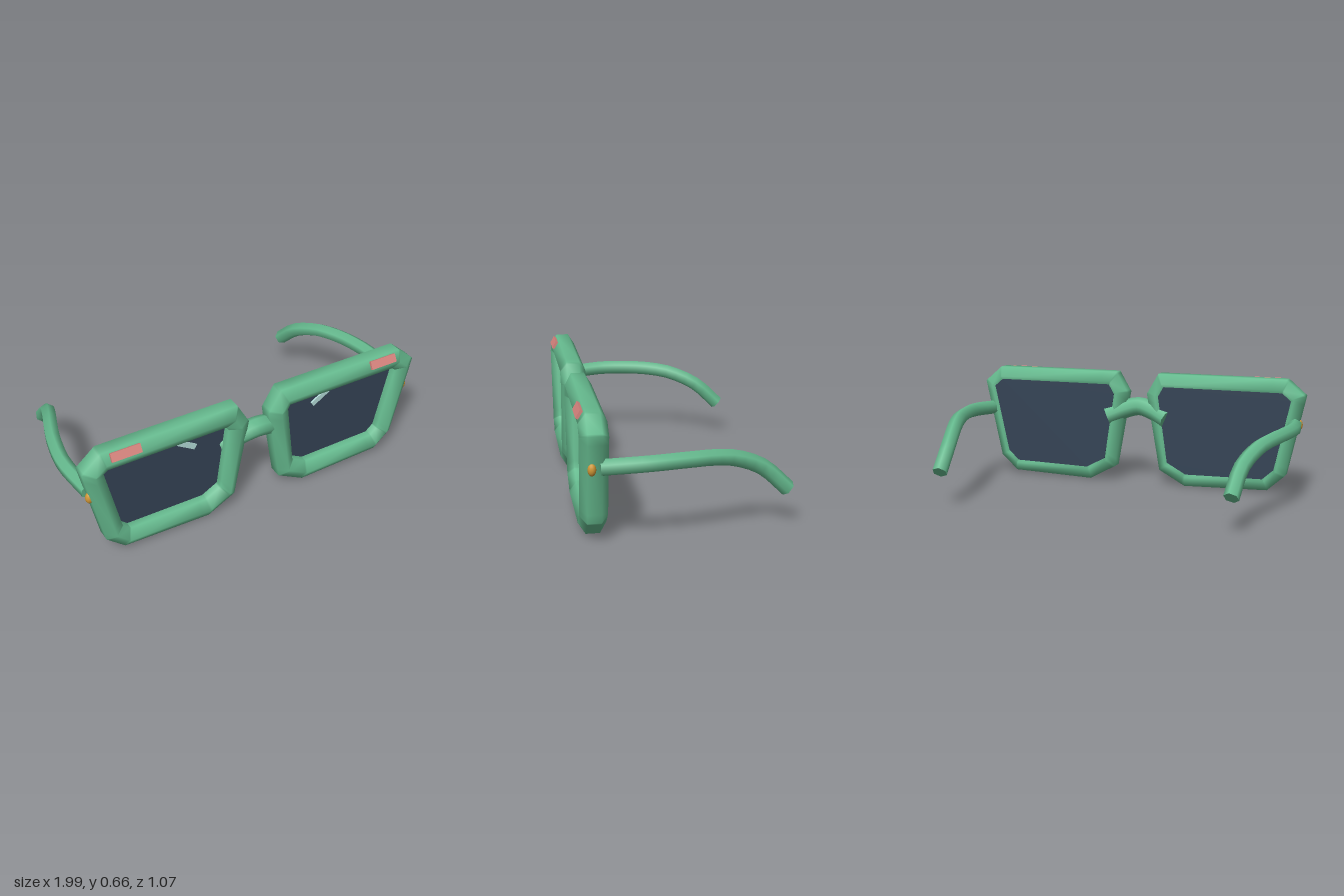
import * as THREE from 'three';

const mat = (name, color) => {
  const m = new THREE.MeshStandardMaterial({ color });
  m.name = name;
  return m;
};

// Rim corners, clockwise from the front: [outer x, outer y, inner x, inner y]
const RIM = [
  [0.13, 0.66, 0.19, 0.548], [0.88, 0.66, 0.85, 0.548],
  [0.985, 0.57, 0.872, 0.53], [0.885, 0.11, 0.792, 0.165],
  [0.785, 0.02, 0.748, 0.125], [0.295, 0.005, 0.315, 0.12],
  [0.14, 0.09, 0.224, 0.17], [0.06, 0.54, 0.178, 0.525],
];
const RIM_Z = 0.46;

function rimCorners(side) {
  const pts = RIM.map(([ox, oy, ix, iy]) => [ox * side, oy, ix * side, iy]);
  return side < 0 ? pts.reverse() : pts;
}

// Closed hexagonal tube swept round the lens opening
function rimGeometry(side) {
  const corners = rimCorners(side);
  const rings = [];
  corners.forEach((c, i) => {
    const next = corners[(i + 1) % corners.length];
    for (const t of [0, 0.1, 0.9]) rings.push(c.map((v, k) => v + (next[k] - v) * t));
  });
  const pos = [], index = [], n = rings.length;
  rings.forEach(([ox, oy, ix, iy], i) => {
    for (let k = 0; k < 6; k++) {
      const a = (k * Math.PI) / 3;
      const r = Math.sin(a) / Math.sin(Math.PI / 3) / 2;
      pos.push((ox + ix) / 2 + (ox - ix) * r, (oy + iy) / 2 + (oy - iy) * r, RIM_Z + 0.07 * Math.cos(a));
      const j = (i + 1) % n, m = (k + 1) % 6;
      index.push(i * 6 + k, j * 6 + k, j * 6 + m, i * 6 + k, j * 6 + m, i * 6 + m);
    }
  });
  const g = new THREE.BufferGeometry();
  g.setAttribute('position', new THREE.Float32BufferAttribute(pos, 3));
  g.setIndex(index);
  g.computeVertexNormals();
  return g;
}

// Lens slab whose edge is buried in the rim
function lensGeometry(side) {
  const pts = rimCorners(side).map(([ox, oy, ix, iy]) =>
    new THREE.Vector2(ox * 0.35 + ix * 0.65, oy * 0.35 + iy * 0.65));
  const g = new THREE.ExtrudeGeometry(new THREE.Shape(pts), { depth: 0.057, bevelEnabled: false });
  return g.translate(0, 0, 0.398);
}

// Tube through points, with flat caps on both ends
function cappedTube(name, points, segments, radius, sides, material) {
  const curve = new THREE.CatmullRomCurve3(points.map((p) => new THREE.Vector3(...p)));
  const tube = new THREE.TubeGeometry(curve, segments, radius, sides, false);
  const src = tube.attributes.position, caps = [];
  const add = (i) => caps.push(src.getX(i), src.getY(i), src.getZ(i));
  const last = segments * (sides + 1);
  for (let k = 1; k < sides - 1; k++) {
    [0, k, k + 1].forEach(add);
    [last, last + k + 1, last + k].forEach(add);
  }
  const capGeo = new THREE.BufferGeometry();
  capGeo.setAttribute('position', new THREE.Float32BufferAttribute(caps, 3));
  capGeo.computeVertexNormals();
  const group = new THREE.Group();
  group.name = name;
  const body = new THREE.Mesh(tube, material);
  body.name = name + 'Body';
  const ends = new THREE.Mesh(capGeo, material);
  ends.name = name + 'Ends';
  group.add(body, ends);
  return group;
}

export function createModel() {
  const green = mat('frameGreen', 0x66bb8f);
  const dark = mat('lensSlate', 0x344355);
  const pink = mat('accentPink', 0xd9857f);
  const gold = mat('hingeGold', 0xcf9636);
  const pale = mat('glintPale', 0xb4dcd8);

  const model = new THREE.Group();
  model.name = 'glasses';
  const addMesh = (name, geo, material, x = 0, y = 0, z = 0) => {
    const mesh = new THREE.Mesh(geo, material);
    mesh.name = name;
    mesh.position.set(x, y, z);
    model.add(mesh);
    return mesh;
  };

  for (const side of [1, -1]) {
    const label = side > 0 ? 'left' : 'right';
    addMesh(label + 'Rim', rimGeometry(side), green);
    addMesh(label + 'Lens', lensGeometry(side), dark);

    // Reflection streak on the lens
    addMesh(label + 'Glint', new THREE.BoxGeometry(0.115, 0.03, 0.009), pale, side * 0.403, 0.5, 0.462)
      .rotation.z = side * 0.56;

    // Accent bar on the upper front bevel
    addMesh(label + 'Accent', new THREE.BoxGeometry(0.16, 0.045, 0.03), pink, side * 0.76, 0.632, 0.512)
      .rotation.x = -Math.PI / 6;

    // Hinge rivet
    addMesh(label + 'Rivet', new THREE.SphereGeometry(1, 14, 10), gold, side * 0.947, 0.402, 0.475)
      .scale.set(0.022, 0.032, 0.021);

    // Temple arm curving inward and down behind the ear
    model.add(cappedTube(label + 'Temple', [
      [side * 0.932, 0.405, 0.43], [side * 0.959, 0.42, 0.2], [side * 0.93, 0.42, 0],
      [side * 0.895, 0.412, -0.12], [side * 0.862, 0.393, -0.22],
      [side * 0.818, 0.325, -0.37], [side * 0.802, 0.2, -0.505],
    ], 16, 0.041, 6, green));
  }

  // Arched nose bridge
  model.add(cappedTube('bridge', [
    [-0.185, 0.395, 0.415], [-0.09, 0.435, 0.45], [0, 0.457, 0.464],
    [0.09, 0.435, 0.45], [0.185, 0.395, 0.415],
  ], 14, 0.054, 8, green));

  return model;
}
